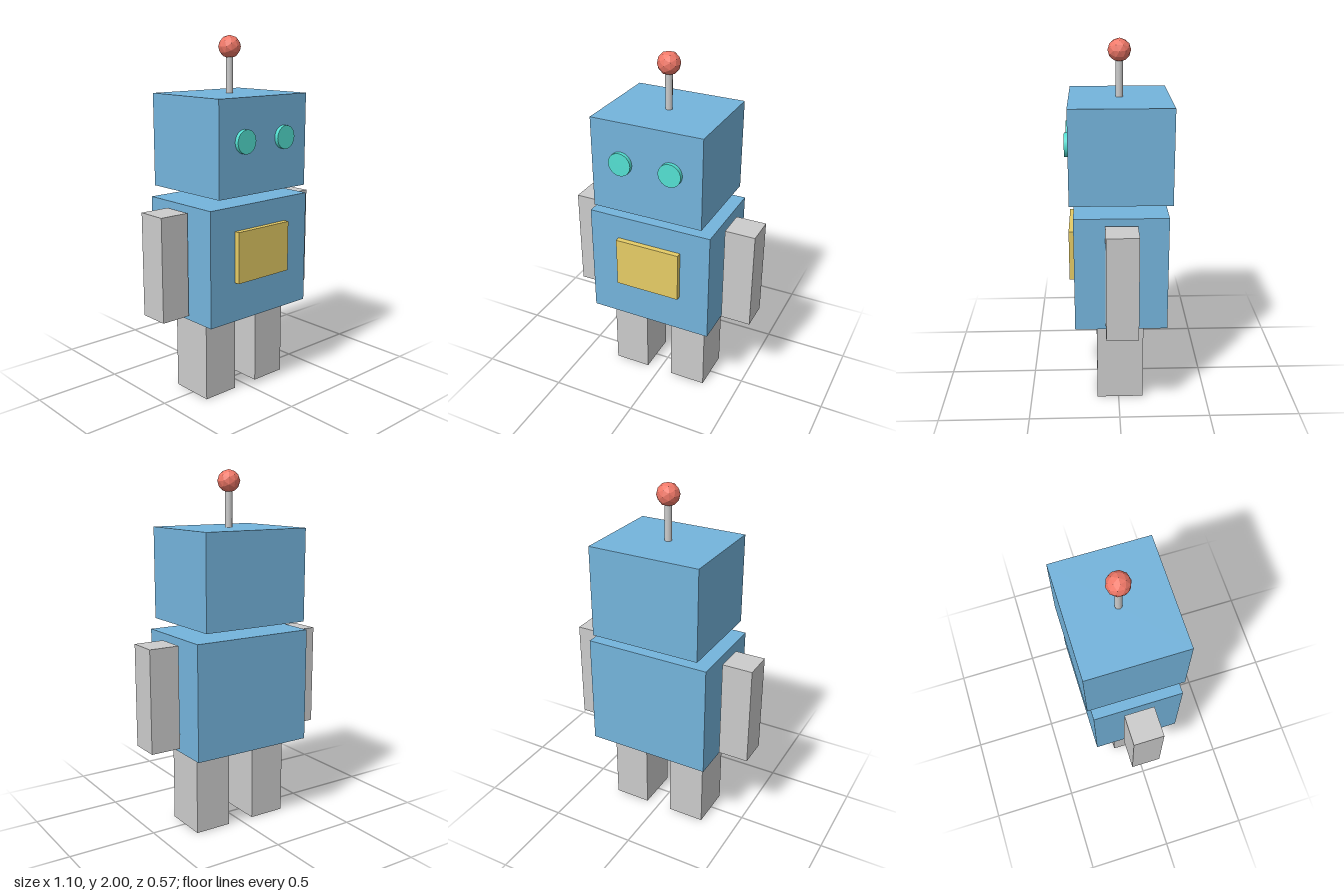
import * as THREE from 'three';

const CZ = -0.0125; // shared centre line of the body in z

export function createModel() {
  const robot = new THREE.Group();
  robot.name = 'robot';

  const paint = (color) => new THREE.MeshStandardMaterial({ color, flatShading: true });
  const blue = paint(0x74b4dc);
  const grey = paint(0xcccccc);
  const yellow = paint(0xe6cc66);
  const red = paint(0xf07868);
  const teal = new THREE.MeshStandardMaterial({ color: 0x54e0d2 });
  const metal = new THREE.MeshStandardMaterial({ color: 0xcccccc });

  const add = (name, geometry, material, x, y, z) => {
    const mesh = new THREE.Mesh(geometry, material);
    mesh.name = name;
    mesh.position.set(x, y, z);
    robot.add(mesh);
    return mesh;
  };
  const box = (w, h, d) => new THREE.BoxGeometry(w, h, d);

  // Head and torso, separated by a small gap
  add('head', box(0.638, 0.516, 0.55), blue, 0, 1.431, CZ);
  add('torso', box(0.72, 0.644, 0.506), blue, 0, 0.796, CZ);

  // Chest panel standing proud of the torso
  add('chestPanel', box(0.376, 0.286, 0.06), yellow, 0, 0.839, 0.241);

  // Antenna rod and faceted ball
  add('antennaRod', new THREE.CylinderGeometry(0.0195, 0.0195, 0.22, 12), metal, 0, 1.795, CZ);
  add('antennaBall', new THREE.IcosahedronGeometry(0.0625, 1), red, 0, 1.9375, CZ);

  // Mirrored eyes, arms and legs
  for (const [side, s] of [['left', 1], ['right', -1]]) {
    const eyeDisc = new THREE.CylinderGeometry(0.0645, 0.0645, 0.044, 24).rotateX(Math.PI / 2);
    add(side + 'Eye', eyeDisc, teal, s * 0.144, 1.461, 0.263);
    add(side + 'Arm', box(0.172, 0.576, 0.172), grey, s * 0.463, 0.795, CZ);
    add(side + 'Leg', box(0.214, 0.474, 0.26), grey, s * 0.187, 0.237, CZ + 0.004);
  }

  return robot;
}
